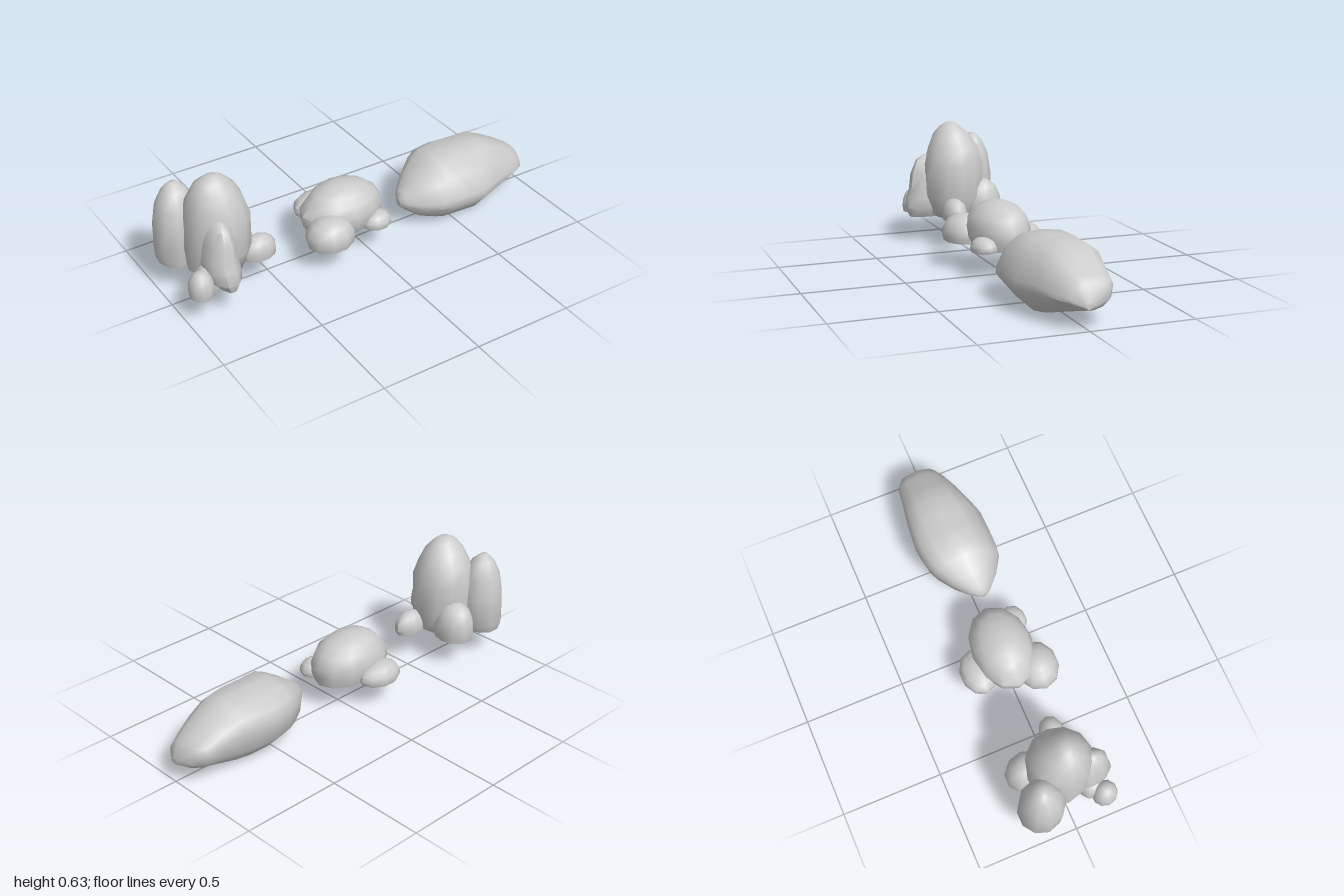
import * as THREE from 'three';
import { toCreasedNormals } from 'three/addons/utils/BufferGeometryUtils.js';

const material = new THREE.MeshStandardMaterial({ color: 0xcccccc });

// Skin a list of rings (counter-clockwise seen from the last ring) and cap both ends
function loft(name, rings) {
  const n = rings[0].length, pos = [], idx = [];
  rings.forEach(r => r.forEach(p => pos.push(...p)));
  for (let i = 0; i < rings.length - 1; i++) {
    for (let j = 0; j < n; j++) {
      const k = (j + 1) % n, a = i * n + j, b = i * n + k;
      idx.push(a, b, b + n, a, b + n, a + n);
    }
  }
  [rings[0], rings[rings.length - 1]].forEach((ring, end) => {
    const c = pos.length / 3, base = end ? (rings.length - 1) * n : 0;
    pos.push(...[0, 1, 2].map(q => ring.reduce((s, p) => s + p[q], 0) / n));
    for (let j = 0; j < n; j++) {
      const a = base + j, b = base + (j + 1) % n;
      idx.push(c, end ? a : b, end ? b : a);
    }
  });
  const geo = new THREE.BufferGeometry();
  geo.setAttribute('position', new THREE.Float32BufferAttribute(pos, 3));
  geo.setIndex(idx);
  const mesh = new THREE.Mesh(toCreasedNormals(geo, 0.85), material);
  mesh.name = name;
  return mesh;
}

// Upright stone: each level is [y, xMin, xMax, zMin, zMax]
function stone(name, levels, sides = 12) {
  return loft(name, levels.map(([y, x0, x1, z0, z1]) =>
    Array.from({ length: sides }, (_, j) => {
      const t = j / sides * Math.PI * 2;
      return [(x0 + x1) / 2 + (x1 - x0) / 2 * Math.cos(t), y, (z0 + z1) / 2 - (z1 - z0) / 2 * Math.sin(t)];
    })));
}

// Low rounded lobe with a flat base, filling a box
function lobe(name, x0, x1, y0, y1, z0, z1) {
  const cx = (x0 + x1) / 2, cz = (z0 + z1) / 2;
  const steps = [[0, 0.93], [0.2, 1], [0.5, 0.96], [0.8, 0.74], [0.95, 0.42], [1, 0.16]];
  return stone(name, steps.map(([v, s]) => [y0 + v * (y1 - y0),
    cx + (x0 - cx) * s, cx + (x1 - cx) * s, cz + (z0 - cz) * s, cz + (z1 - cz) * s]), 10);
}

function group(name, ...parts) {
  const g = new THREE.Group();
  g.name = name;
  g.add(...parts);
  return g;
}

export function createModel() {
  // Tall rock: a central column with smaller stones fused around its foot
  const tall = group('tallRock',
    stone('centralColumn', [
      [0.13, -0.86, -0.66, -0.11, 0.09], [0.155, -0.90, -0.62, -0.14, 0.13],
      [0.25, -0.91, -0.595, -0.155, 0.16], [0.42, -0.90, -0.595, -0.155, 0.16],
      [0.5, -0.885, -0.62, -0.135, 0.135], [0.57, -0.86, -0.66, -0.085, 0.105],
      [0.61, -0.83, -0.70, -0.04, 0.07], [0.632, -0.79, -0.735, -0.01, 0.04]]),
    stone('backColumn', [
      [0.14, -0.98, -0.80, -0.24, -0.05], [0.18, -0.995, -0.775, -0.255, -0.04],
      [0.33, -0.995, -0.77, -0.25, -0.03], [0.44, -0.975, -0.79, -0.235, -0.05],
      [0.515, -0.94, -0.82, -0.20, -0.09], [0.55, -0.905, -0.86, -0.165, -0.13]], 10),
    stone('frontButtress', [
      [0.135, -0.84, -0.75, 0.02, 0.235], [0.18, -0.88, -0.72, 0.01, 0.252],
      [0.24, -0.89, -0.72, 0, 0.245], [0.28, -0.885, -0.725, 0, 0.23],
      [0.36, -0.87, -0.73, 0, 0.223], [0.435, -0.845, -0.755, 0.03, 0.193],
      [0.462, -0.815, -0.785, 0.09, 0.155]], 10),
    lobe('backLobe', -0.79, -0.6, 0.145, 0.335, -0.24, -0.02),
    lobe('frontLobe', -0.985, -0.865, 0.135, 0.26, 0.105, 0.23),
    lobe('frontLobeNeck', -0.93, -0.8, 0.14, 0.25, 0.06, 0.19),
    lobe('sideLobe', -0.66, -0.48, 0.15, 0.26, -0.005, 0.12));

  // Low rock: a wide dome with three lobes at its base
  const low = group('lowRock',
    stone('dome', [
      [0.13, -0.27, 0.12, -0.13, 0.13], [0.17, -0.295, 0.13, -0.145, 0.15],
      [0.225, -0.30, 0.13, -0.15, 0.155], [0.28, -0.255, 0.10, -0.13, 0.135],
      [0.315, -0.22, 0.055, -0.10, 0.10], [0.335, -0.17, 0.0, -0.06, 0.065],
      [0.345, -0.13, -0.05, -0.03, 0.03]]),
    lobe('frontLobe', -0.345, -0.1, 0.13, 0.262, 0.02, 0.235),
    lobe('smallFrontLobe', -0.035, 0.12, 0.13, 0.2, 0.05, 0.185),
    lobe('backLobe', -0.255, -0.02, 0.13, 0.22, -0.235, -0.06));

  // Long boulder: one lopsided section scaled along x; stations are [x, yMin, yMax, zMin, zMax]
  const section = [[0, 0.66], [0.05, 0.84], [0.19, 0.96], [0.47, 1], [0.7, 0.96], [0.87, 0.78],
    [0.99, 0.47], [1, 0.35], [0.77, 0.02], [0.44, 0], [0.2, 0.1], [0.04, 0.32]];
  const stations = [
    [0.228, 0.12, 0.16, 0.02, 0.06], [0.25, 0.1, 0.19, -0.02, 0.085], [0.32, 0.052, 0.245, -0.09, 0.145],
    [0.40, 0.03, 0.295, -0.15, 0.195], [0.45, 0.012, 0.32, -0.172, 0.202], [0.55, 0.005, 0.32, -0.19, 0.203],
    [0.65, 0, 0.32, -0.182, 0.2], [0.735, 0.012, 0.32, -0.172, 0.172], [0.83, 0.04, 0.275, -0.155, 0.14],
    [0.92, 0.068, 0.222, -0.142, 0.103], [0.965, 0.08, 0.195, -0.11, 0.075], [1, 0.095, 0.125, -0.02, 0.02]];
  const boulder = loft('longBoulder', stations.map(([x, y0, y1, z0, z1]) =>
    section.map(([u, v]) => [x, y0 + v * (y1 - y0), z0 + u * (z1 - z0)])));

  return group('rocks', tall, low, boulder);
}
